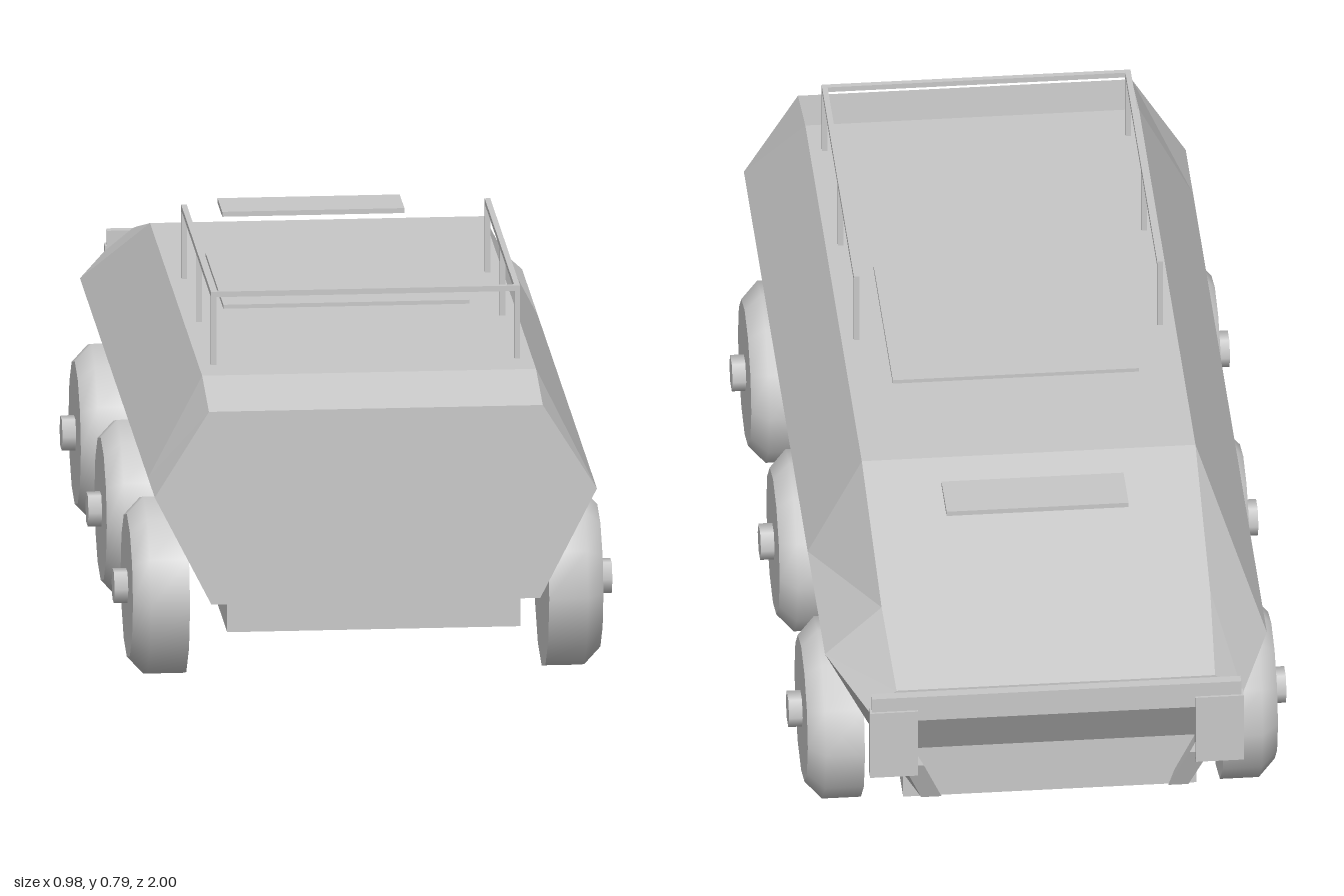
import * as THREE from 'three';

const paint = new THREE.MeshStandardMaterial({ color: 0xc8c8c8 });
paint.name = 'plain grey';

function add(parent, name, geometry, x = 0, y = 0, z = 0) {
  const mesh = new THREE.Mesh(geometry, paint);
  mesh.name = name;
  mesh.position.set(x, y, z);
  parent.add(mesh);
  return mesh;
}

// Half width of the lower hull: slopes in towards the belly and tapers at the rear
function halfWidth(y, z) {
  const taper = Math.max(0, (-z - 0.76) / 0.215) * 0.067;
  return 0.325 + (y - 0.22) / 0.22 * 0.112 - taper;
}

// Closed hull lofted through sections [z, topY, topX, middleX]
function upperHull(sections) {
  const rings = sections.map(([z, y, t, m]) =>
    [[m, 0.44, z], [t, y, z], [-t, y, z], [-m, 0.44, z]]);
  const pos = [];
  const quad = (a, b, c, d) => pos.push(...a, ...b, ...c, ...a, ...c, ...d);
  for (let i = 0; i < rings.length - 1; i++) {
    for (let j = 0; j < 4; j++) {
      const k = (j + 1) % 4;
      quad(rings[i][j], rings[i + 1][j], rings[i + 1][k], rings[i][k]);
    }
  }
  const last = rings[rings.length - 1];
  quad(...rings[0]);
  quad(last[3], last[2], last[1], last[0]);
  const g = new THREE.BufferGeometry();
  g.setAttribute('position', new THREE.Float32BufferAttribute(pos, 3));
  g.computeVertexNormals();
  return g;
}

// Side profile [z, y] extruded across the hull; span gives its two x limits, larger first
function hullSlice(profile, span) {
  const shape = new THREE.Shape(profile.map(p => new THREE.Vector2(...p)));
  const g = new THREE.ExtrudeGeometry(shape, { depth: 1, bevelEnabled: false });
  const p = g.attributes.position;
  for (let i = 0; i < p.count; i++) {
    const z = p.getX(i), y = p.getY(i);
    const limits = span(halfWidth(y, z));
    p.setXYZ(i, limits[p.getZ(i) < 0.5 ? 0 : 1], y, z);
  }
  g.computeVertexNormals();
  return g;
}

function buildWheel() {
  const wheel = new THREE.Group();
  const profile = [[0.18, 0.355], [0.18, 0.432], [0.145, 0.465]].map(p => new THREE.Vector2(...p));
  add(wheel, 'tyre', new THREE.LatheGeometry(profile, 12).rotateZ(-Math.PI / 2));
  add(wheel, 'outerDisc', new THREE.CircleGeometry(0.145, 12).rotateY(Math.PI / 2), 0.465);
  add(wheel, 'innerDisc', new THREE.CircleGeometry(0.18, 12).rotateY(-Math.PI / 2), 0.355);
  add(wheel, 'hub', new THREE.CylinderGeometry(0.036, 0.036, 0.03, 6).rotateZ(Math.PI / 2), 0.477);
  return wheel;
}

export function createModel() {
  const model = new THREE.Group();
  model.name = 'armouredVehicle';

  // Hull above the widest line
  add(model, 'upperHull', upperHull([
    [1, 0.612, 0.33, 0.437], [0.84, 0.645, 0.33, 0.437], [-0.385, 0.645, 0.33, 0.437],
    [-0.76, 0.543, 0.325, 0.437], [-0.975, 0.485, 0.315, 0.37],
  ]));

  // Belly and inner walls of the wheel wells
  add(model, 'belly', new THREE.BoxGeometry(0.58, 0.29, 1.8), 0, 0.297, 0.055);

  // Lower hull between the wheel wells
  const full = w => [w, -w];
  const slices = {
    frontLowerHull: [[1, 0.44], [0.8, 0.44], [0.875, 0.4], [0.895, 0.22], [1, 0.22]],
    frontPillar: [[0.54, 0.44], [0.195, 0.44], [0.265, 0.4], [0.29, 0.22], [0.436, 0.22], [0.462, 0.4]],
    rearPillar: [[-0.07, 0.44], [-0.42, 0.44], [-0.35, 0.4], [-0.32, 0.22], [-0.174, 0.22], [-0.147, 0.4]],
    rearLowerHull: [[-0.68, 0.44], [-0.76, 0.44], [-0.975, 0.44], [-0.975, 0.42], [-0.9, 0.3],
      [-0.9, 0.22], [-0.778, 0.22], [-0.757, 0.4]],
  };
  for (const name in slices) add(model, name, hullSlice(slices[name], full));

  // Rear cheeks and corner plates
  const cheek = [[-0.85, 0.44], [-0.975, 0.44], [-0.995, 0.32], [-0.955, 0.22], [-0.85, 0.22]];
  for (const s of [1, -1]) {
    add(model, 'rearCheek', hullSlice(cheek, w => s > 0 ? [w, w - 0.04] : [0.04 - w, -w]));
    add(model, 'rearCornerPlate', new THREE.BoxGeometry(0.095, 0.15, 0.025), s * 0.322, 0.375, -0.9875);
  }
  add(model, 'rearBar', new THREE.BoxGeometry(0.73, 0.055, 0.02), 0, 0.453, -0.985);

  // Roof plates
  add(model, 'roofHatch', new THREE.BoxGeometry(0.487, 0.01, 0.42), 0, 0.648, 0.1);
  add(model, 'rearVent', new THREE.BoxGeometry(0.36, 0.01, 0.11), 0, 0.638, -0.525);

  // Roof railing
  const rod = 0.011;
  for (const s of [1, -1]) {
    for (const z of [0.75, 0.405, 0.06]) {
      add(model, 'railPost', new THREE.BoxGeometry(rod, 0.15, rod), s * 0.3, 0.715, z);
    }
    add(model, 'sideRail', new THREE.BoxGeometry(rod, rod, 0.7), s * 0.3, 0.788, 0.405);
  }
  add(model, 'frontRail', new THREE.BoxGeometry(0.61, rod, rod), 0, 0.788, 0.75);

  // Six wheels
  for (const z of [0.675, 0.06, -0.55]) {
    for (const left of [true, false]) {
      const wheel = buildWheel();
      wheel.name = left ? 'leftWheel' : 'rightWheel';
      wheel.position.set(0, 0.18, z);
      if (!left) wheel.rotation.y = Math.PI;
      model.add(wheel);
    }
  }
  return model;
}
